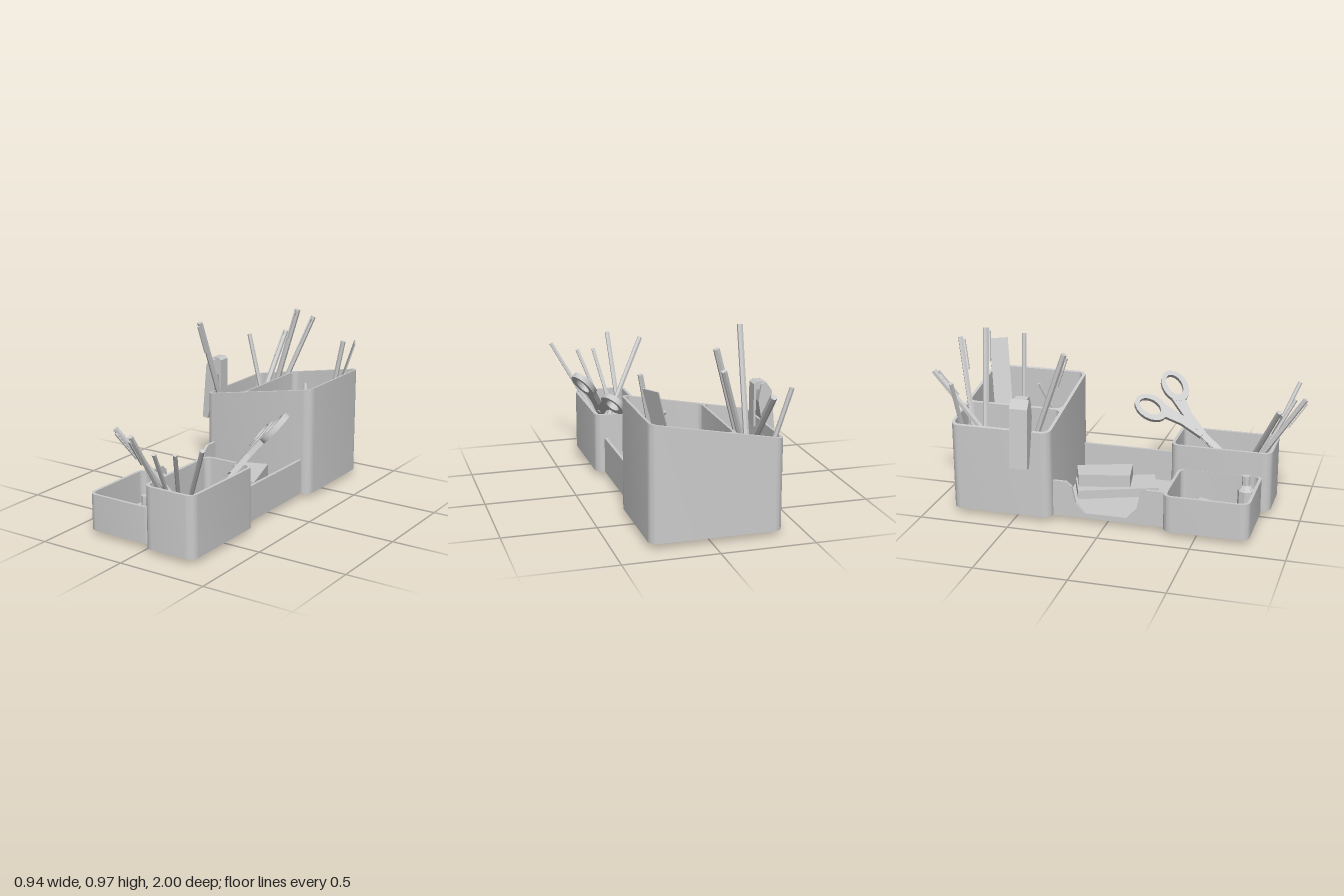
import * as THREE from 'three';
import { toCreasedNormals } from 'three/addons/utils/BufferGeometryUtils.js';

const mat = new THREE.MeshStandardMaterial({ color: 0xcccccc });
const flat = new THREE.MeshStandardMaterial({ color: 0xcccccc, flatShading: true });
const V = (x, y, z) => new THREE.Vector3(x, y, z);
const BASE = 0.025, WALL = 0.017, FLOOR = 0.02;

function mesh(name, geo, material = flat) {
  const m = new THREE.Mesh(geo, material);
  m.name = name;
  return m;
}

// Rounded rectangle in plan; the shape's y is -z
function roundRect(Type, x0, x1, z0, z1, r) {
  const s = new Type(), a = -z1, b = -z0, h = Math.PI / 2;
  s.moveTo(x0 + r, a);
  s.absarc(x1 - r, a + r, r, -h, 0);
  s.absarc(x1 - r, b - r, r, 0, h);
  s.absarc(x0 + r, b - r, r, h, 2 * h);
  s.absarc(x0 + r, a + r, r, 2 * h, 3 * h);
  return s;
}

function standUp(shape, y0, height) {
  const g = new THREE.ExtrudeGeometry(shape, { depth: height, bevelEnabled: false, curveSegments: 6 });
  return g.rotateX(-Math.PI / 2).translate(0, y0, 0);
}

// Open bin with rounded corners, optional divider and sloping rim
function bin(name, x0, x1, z0, z1, rim, divider) {
  const g = new THREE.Group();
  g.name = name;
  const walls = roundRect(THREE.Shape, x0, x1, z0, z1, 0.05);
  const cuts = divider === undefined ? [[x0 + WALL, x1 - WALL]]
    : [[x0 + WALL, divider - 0.008], [divider + 0.008, x1 - WALL]];
  for (const [a, b] of cuts) walls.holes.push(roundRect(THREE.Path, a, b, z0 + WALL, z1 - WALL, 0.034));
  const geo = standUp(walls, BASE, 1);
  const p = geo.attributes.position;
  for (let i = 0; i < p.count; i++) if (p.getY(i) > 0.5) p.setY(i, rim(p.getX(i)));
  g.add(mesh('walls', toCreasedNormals(geo, 0.6), mat));
  const floor = standUp(roundRect(THREE.Shape, x0 + 0.002, x1 - 0.002, z0 + 0.002, z1 - 0.002, 0.048), BASE, FLOOR);
  g.add(mesh('floor', toCreasedNormals(floor, 0.6), mat));
  return g;
}

// Pencil or pen between a bottom point and a top point
function pen(name, bottom, top, r, clip = false) {
  const g = new THREE.Group(), dir = top.clone().sub(bottom), len = dir.length();
  g.name = name;
  g.add(mesh('barrel', new THREE.CylinderGeometry(r, r, len - 0.05, 6).translate(0, len / 2 + 0.025, 0)));
  g.add(mesh('point', new THREE.CylinderGeometry(r, 0.002, 0.05, 6).translate(0, 0.025, 0)));
  if (clip) {
    g.add(mesh('clip', new THREE.BoxGeometry(0.009, 0.17, 0.006).translate(0, len - 0.1, r + 0.008)));
    g.add(mesh('clipMount', new THREE.BoxGeometry(0.009, 0.02, 0.016).translate(0, len - 0.025, r + 0.003)));
  }
  g.position.copy(bottom);
  g.quaternion.setFromUnitVectors(V(0, 1, 0), dir.normalize());
  return g;
}

function polygon(points) {
  return new THREE.Shape(points.map(([x, y]) => new THREE.Vector2(x, y)));
}

function slab(shape, depth) {
  return new THREE.ExtrudeGeometry(shape, { depth, bevelEnabled: false, curveSegments: 10 });
}

// Two mirrored halves lying in one tilted plane, pivot at the origin
function scissors() {
  const g = new THREE.Group();
  g.name = 'scissors';
  for (const s of [-1, 1]) {
    const ring = new THREE.Shape(), hole = new THREE.Path(), tilt = -s * 0.25;
    ring.absellipse(s * 0.098, 0.265, 0.072, 0.1, 0, Math.PI * 2, false, tilt);
    hole.absellipse(s * 0.1, 0.272, 0.042, 0.066, 0, Math.PI * 2, true, tilt);
    ring.holes.push(hole);
    g.add(mesh('fingerRing', toCreasedNormals(slab(ring, 0.03).translate(0, 0, -0.015), 0.7), mat));
    const arm = polygon([[-s * 0.022, -0.05], [s * 0.022, -0.05], [s * 0.045, 0.08], [s * 0.09, 0.19], [s * 0.03, 0.235], [0, 0.1]]);
    g.add(mesh('handleArm', slab(arm, 0.028).translate(0, 0, -0.014)));
    const blade = polygon([[-s * 0.02, 0], [s * 0.02, 0], [s * 0.022, -0.3], [s * 0.004, -0.46], [-s * 0.006, -0.46]]);
    g.add(mesh('blade', slab(blade, 0.007).translate(0, 0, s < 0 ? -0.007 : 0)));
  }
  g.add(mesh('pivotScrew', new THREE.CylinderGeometry(0.012, 0.012, 0.036, 8).rotateX(Math.PI / 2)));
  const up = V(0.22, 0.57, -0.79).normalize();
  const n = V(0.7, 0.45, 0.55).cross(up).normalize();
  const side = up.clone().cross(n);
  g.quaternion.setFromRotationMatrix(new THREE.Matrix4().makeBasis(side, up, n));
  g.position.set(0.27, 0.37, 0.36);
  return g;
}

export function createModel() {
  const model = new THREE.Group();
  model.name = 'deskOrganizer';

  // Bins
  model.add(bin('backBin', -0.38, 0.32, -0.86, -0.295, x => 0.58 + 0.186 * x, -0.12));
  model.add(bin('frontTallBin', 0.015, 0.32, 0.27, 0.83, () => 0.362));
  model.add(bin('frontLowBin', -0.38, 0.03, 0.32, 0.785, () => 0.226));

  // Middle tray with a notched left wall
  const tray = new THREE.Group();
  tray.name = 'middleTray';
  tray.add(mesh('floor', new THREE.BoxGeometry(0.6, FLOOR, 0.64).translate(-0.03, BASE + FLOOR / 2, 0.015)));
  tray.add(mesh('rightWall', new THREE.BoxGeometry(WALL, 0.2, 0.6).translate(0.27 - WALL / 2, BASE + 0.1, 0)));
  const notch = polygon([[-0.31, BASE], [0.34, BASE], [0.34, 0.226], [0.22, 0.226], [0.19, 0.2], [0.17, 0.11],
    [0.12, 0.055], [-0.12, 0.055], [-0.17, 0.11], [-0.19, 0.2], [-0.22, 0.226], [-0.31, 0.226]]);
  tray.add(mesh('leftWall', slab(notch, WALL).rotateY(-Math.PI / 2).translate(-0.33 + WALL, 0, 0)));
  model.add(tray);

  // Note pad and block lying in the tray
  const pad = mesh('notePad', new THREE.BoxGeometry(0.2, 0.05, 0.45));
  pad.position.set(0.035, 0.07, -0.04);
  pad.rotation.y = 0.37;
  const block = mesh('noteBlock', slab(polygon([[-0.08, 0.23], [-0.01, -0.05], [0.16, -0.02], [0.06, 0.28]]), 0.075)
    .rotateX(-Math.PI / 2));
  block.position.y = 0.09;
  model.add(pad, block);

  // Eraser and small bottle in the low bin
  const eraser = mesh('eraser', new THREE.BoxGeometry(0.15, 0.045, 0.09));
  eraser.position.set(-0.115, 0.067, 0.47);
  eraser.rotation.y = -0.38;
  const bottle = mesh('bottle', new THREE.LatheGeometry(
    [[0, 0.045], [0.046, 0.045], [0.046, 0.175], [0.022, 0.205], [0.022, 0.257], [0, 0.257]]
      .map(([x, y]) => new THREE.Vector2(x, y)), 8));
  bottle.position.set(-0.06, 0, 0.71);
  model.add(eraser, bottle);

  // Pens and pencils: bottom, top, radius, clip
  const pens = [
    [V(0.25, 0.05, 0.59), V(-0.105, 0.65, 0.88), 0.015, true],
    [V(0.075, 0.05, 0.58), V(0.073, 0.67, 0.99), 0.014, true],
    [V(0.08, 0.05, 0.6), V(0.175, 0.585, 0.94), 0.011],
    [V(0.1, 0.05, 0.62), V(0.28, 0.593, 0.91), 0.011],
    [V(0.13, 0.06, 0.67), V(0.44, 0.643, 0.91), 0.012],
    [V(-0.325, 0.2, -0.48), V(-0.36, 0.95, -0.21), 0.016, true],
    [V(-0.29, 0.06, -0.7), V(-0.045, 0.965, -0.76), 0.017, true],
    [V(-0.31, 0.06, -0.7), V(-0.03, 0.895, -0.92), 0.015, true],
    [V(-0.23, 0.1, -0.44), V(-0.262, 0.765, -0.985), 0.017, true],
    [V(-0.19, 0, -0.77), V(-0.42, 0.757, -0.82), 0.013],
    [V(0.17, 0.06, -0.64), V(0.313, 0.84, -0.67), 0.014],
    [V(0.3, 0.06, -0.315), V(0.15, 0.6, -0.53), 0.011],
  ];
  for (const [bottom, top, r, clip] of pens) model.add(pen(clip ? 'pen' : 'pencil', bottom, top, r, clip));

  model.add(scissors());

  // Leaning ruler
  const up = V(0.2, 0.71, -0.11).normalize();
  const n = V(0.055, 0, 0.095).cross(up).normalize();
  const ruler = mesh('ruler', new THREE.BoxGeometry(0.105, 0.75, 0.006));
  ruler.quaternion.setFromRotationMatrix(new THREE.Matrix4().makeBasis(up.clone().cross(n), up, n));
  ruler.position.set(0.205, 0.445, -0.77);
  model.add(ruler);

  // Clip-on cutter hooked over the left rim
  const cutter = new THREE.Group();
  cutter.name = 'hangingCutter';
  const body = polygon([[-0.47, 0.33], [-0.435, 0.327], [-0.382, 0.53], [-0.37, 0.6], [-0.385, 0.69], [-0.41, 0.7], [-0.442, 0.655]]);
  cutter.add(mesh('body', slab(body, 0.1).translate(0, 0, -0.49)));
  const hook = polygon([[-0.41, 0.7], [-0.4, 0.66], [-0.362, 0.66], [-0.36, 0.46], [-0.35, 0.46], [-0.348, 0.69], [-0.365, 0.703]]);
  cutter.add(mesh('hook', slab(hook, 0.07).translate(0, 0, -0.475)));
  model.add(cutter);

  return model;
}
